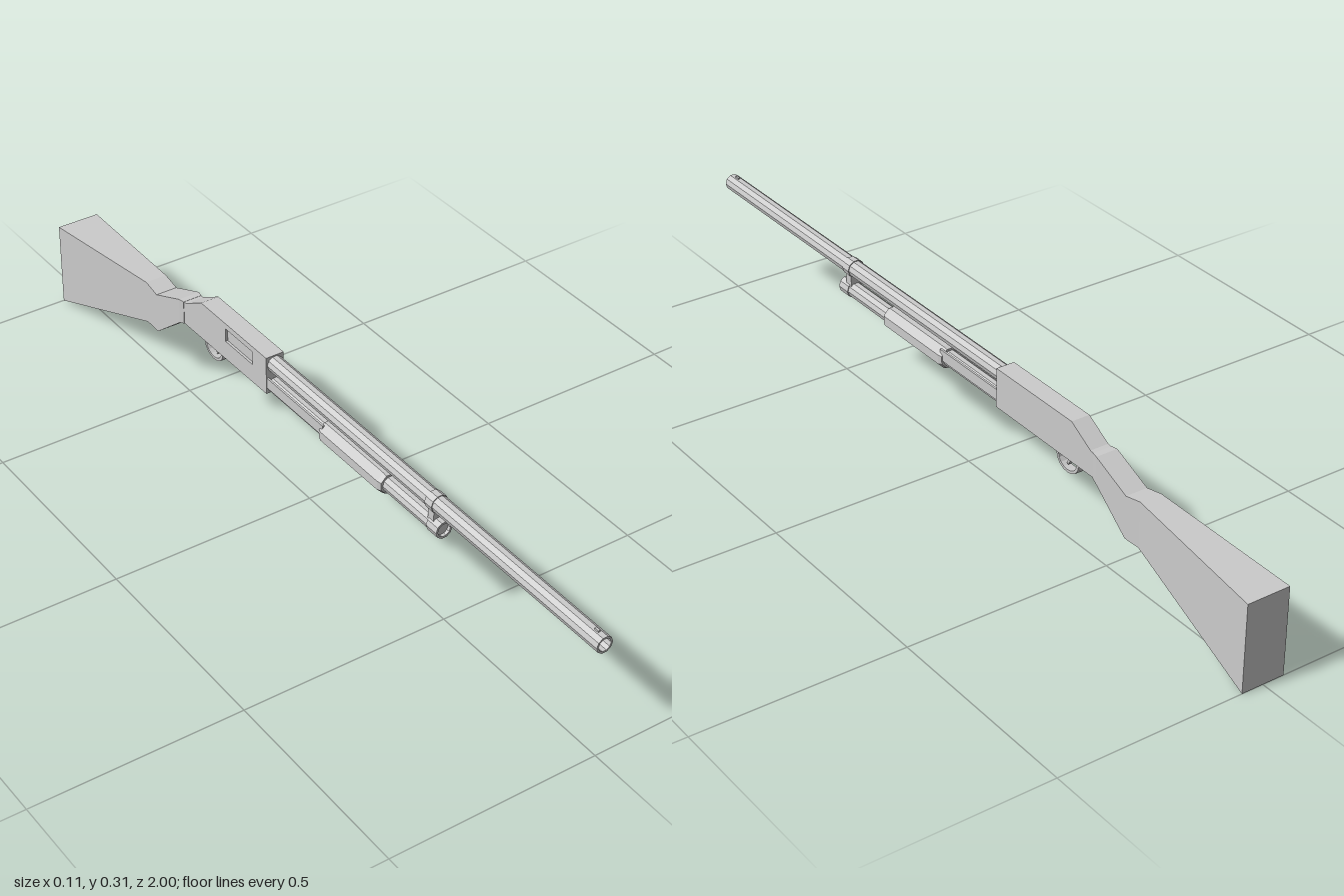
import * as THREE from 'three';

const material = new THREE.MeshStandardMaterial({ color: 0xcccccc, flatShading: true });

export function createModel() {
  const model = new THREE.Group();

  const add = (name, geometry) => {
    const mesh = new THREE.Mesh(geometry, material);
    mesh.name = name;
    model.add(mesh);
    return mesh;
  };

  // Faceted round part along z, from [radius, z] pairs
  const turned = (name, y, profile, sides = 10) => {
    const points = profile.map(([r, z]) => new THREE.Vector2(r, z));
    const g = new THREE.LatheGeometry(points, sides, Math.PI / sides);
    return add(name, g.rotateX(Math.PI / 2).translate(0, y, 0));
  };

  // Side outline in (z, y), spanning xMin..xMax
  const outline = (points) => new THREE.Shape(points.map(([z, y]) => new THREE.Vector2(z, y)));
  const plate = (name, shape, xMin, xMax) => {
    const g = new THREE.ExtrudeGeometry(shape, { depth: xMax - xMin, bevelEnabled: false, curveSegments: 8 });
    return add(name, g.rotateY(-Math.PI / 2).translate(xMax, 0, 0));
  };

  const block = (name, w, h, d, x, y, z) => add(name, new THREE.BoxGeometry(w, h, d).translate(x, y, z));

  const barrelY = 0.288, tubeY = 0.232;

  // Barrel with open bore and front bead
  turned('barrel', barrelY, [[0, -0.14], [0.02, -0.14], [0.02, 1], [0.0155, 1], [0.0155, 0.9], [0, 0.9]]);
  block('frontBead', 0.005, 0.006, 0.012, 0, 0.308, 0.975);

  // Magazine tube with recessed end cap
  turned('magazineTube', tubeY, [[0, -0.14], [0.019, -0.14], [0.019, 0.455], [0.021, 0.455],
    [0.021, 0.49], [0.016, 0.49], [0.016, 0.482], [0, 0.482]]);

  // Clamp joining barrel and tube
  turned('barrelBand', barrelY, [[0.02, 0.448], [0.022, 0.448], [0.022, 0.472], [0.02, 0.472]]);
  block('barrelBracket', 0.026, 0.04, 0.02, 0, 0.26, 0.46);

  // Sliding fore-end and its action bars
  turned('foreEnd', tubeY, [[0.019, 0.07], [0.025, 0.07], [0.029, 0.08], [0.029, 0.29],
    [0.025, 0.3], [0.019, 0.3]], 8);
  for (const side of [-1, 1]) block('actionBar', 0.005, 0.026, 0.22, side * 0.0185, 0.243, -0.03);

  // Receiver: main body plus a right wall pierced by the ejection port
  const receiverPoints = [[-0.135, 0.215], [-0.135, 0.31], [-0.4, 0.31], [-0.465, 0.273], [-0.485, 0.27], [-0.485, 0.213]];
  plate('receiver', outline(receiverPoints), -0.017, 0.023);
  const wall = outline(receiverPoints);
  wall.holes.push(outline([[-0.19, 0.262], [-0.3, 0.262], [-0.3, 0.296], [-0.19, 0.296]]));
  plate('receiverPortWall', wall, -0.023, -0.017);

  // Trigger guard ring and trigger
  const guard = new THREE.Shape();
  guard.absellipse(-0.372, 0.2, 0.038, 0.032, 0, Math.PI * 2);
  const opening = new THREE.Path();
  opening.absellipse(-0.372, 0.2, 0.031, 0.025, 0, Math.PI * 2, true);
  guard.holes.push(opening);
  plate('triggerGuard', guard, -0.01, 0.01);
  plate('trigger', outline([[-0.362, 0.218], [-0.376, 0.218], [-0.376, 0.198], [-0.367, 0.182],
    [-0.363, 0.184], [-0.368, 0.2]]), -0.004, 0.004);

  // Stock: a segmented box reshaped to sections [z, bottom, top, half width]
  const sections = [[-0.475, 0.213, 0.272, 0.024], [-0.49, 0.208, 0.272, 0.027], [-0.59, 0.128, 0.23, 0.027],
    [-0.635, 0.13, 0.24, 0.027], [-1, 0, 0.212, 0.053]];
  const stock = new THREE.BoxGeometry(1, 1, 1, 1, 1, sections.length - 1);
  const p = stock.attributes.position;
  for (let i = 0; i < p.count; i++) {
    const [z, bottom, top, half] = sections[Math.round((0.5 - p.getZ(i)) * (sections.length - 1))];
    p.setXYZ(i, Math.sign(p.getX(i)) * half, p.getY(i) > 0 ? top : bottom, z);
  }
  stock.computeVertexNormals();
  add('stock', stock);

  return model;
}
